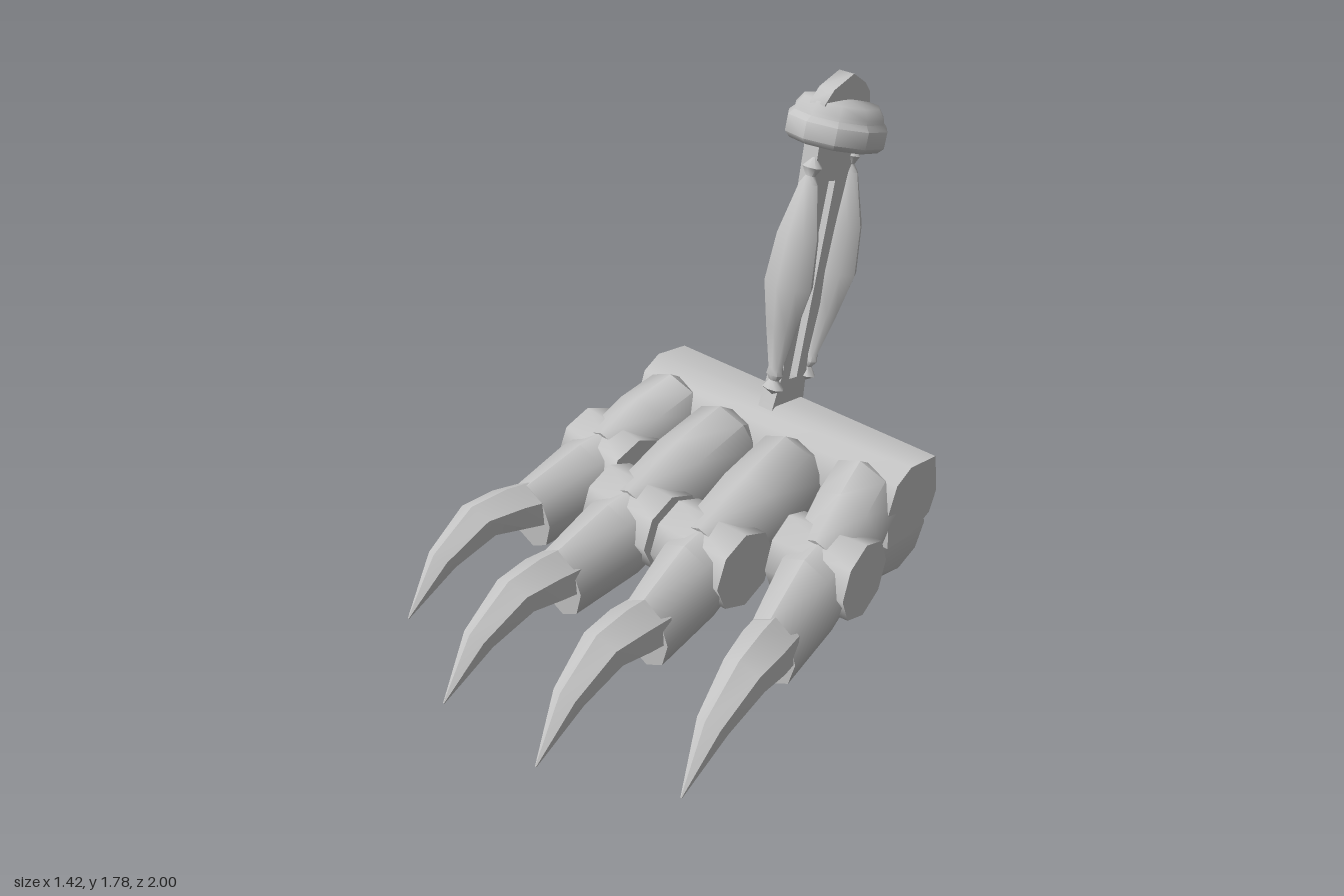
import * as THREE from 'three';
import { toCreasedNormals } from 'three/addons/utils/BufferGeometryUtils.js';

const grey = new THREE.MeshStandardMaterial({ color: 0xc4c4c4 });
grey.name = 'plain grey';

function part(name, geometry, parent) {
  const mesh = new THREE.Mesh(toCreasedNormals(geometry, 0.9), grey);
  mesh.name = name;
  parent.add(mesh);
  return mesh;
}

// Closed tube through elliptical rings [x, y, z, halfWidth, halfHeight, tilt], ordered towards +z
function loft(rings, sides) {
  const pos = [], idx = [];
  for (const [x, y, z, w, h, tilt] of rings) {
    for (let j = 0; j < sides; j++) {
      const a = Math.PI / 2 + (j / sides) * Math.PI * 2;
      const up = Math.sin(a) * h;
      pos.push(x + Math.cos(a) * w, y + up * Math.cos(tilt), z + up * Math.sin(tilt));
    }
  }
  for (let i = 0; i < rings.length - 1; i++) {
    for (let j = 0; j < sides; j++) {
      const k = (j + 1) % sides;
      const a = i * sides + j, b = i * sides + k;
      idx.push(a, b, b + sides, a, b + sides, a + sides);
    }
  }
  const last = (rings.length - 1) * sides;
  for (let j = 1; j < sides - 1; j++) {
    idx.push(0, j + 1, j, last, last + j, last + j + 1);
  }
  const g = new THREE.BufferGeometry();
  g.setAttribute('position', new THREE.Float32BufferAttribute(pos, 3));
  g.setIndex(idx);
  return g;
}

// Side outline of [z, y] points, extruded across x
function slab(outline, x0, x1, hole) {
  const points = (list) => list.map(([z, y]) => new THREE.Vector2(-z, y));
  const shape = new THREE.Shape(points(outline));
  if (hole) shape.holes.push(new THREE.Path(points(hole)));
  const g = new THREE.ExtrudeGeometry(shape, { depth: x1 - x0, bevelEnabled: false });
  return g.rotateY(Math.PI / 2).translate(x0, 0, 0);
}

function lathe(profile, sides) {
  return new THREE.LatheGeometry(profile.map(([r, y]) => new THREE.Vector2(r, y)), sides);
}

// One finger: x positions at root, knuckle, claw base, claw middle and tip
function finger(name, side, xs, knuckleZ, rootZ, yaw, parent) {
  const [xr, xk, xb, xm, xt] = xs.map((x) => x * side);
  const group = new THREE.Group();
  group.name = name;
  parent.add(group);
  const z = knuckleZ;

  part('upperSegment', loft([
    [xr, 0.44, rootZ - 0.07, 0.11, 0.12, 0.28],
    [xr, 0.45, rootZ, 0.145, 0.165, 0.28],
    [(xr + xk) / 2, 0.4, (rootZ + z) / 2, 0.15, 0.165, 0.28],
    [xk, 0.335, z + 0.03, 0.13, 0.14, 0.28],
  ], 8), group);

  const knuckle = part('knuckle', new THREE.CylinderGeometry(0.148, 0.148, 0.31, 8).rotateZ(Math.PI / 2), group);
  knuckle.position.set(xk, 0.33, z);
  knuckle.rotation.y = yaw * side;

  part('lowerSegment', loft([
    [xk, 0.33, z - 0.04, 0.13, 0.14, 0.2],
    [(xk * 2 + xb) / 3, 0.29, z + 0.13, 0.14, 0.16, 0.15],
    [xb, 0.22, z + 0.38, 0.105, 0.14, 0.05],
  ], 8), group);

  part('claw', loft([
    [xb, 0.26, z + 0.34, 0.1, 0.1, 0],
    [(xb + xm) / 2, 0.275, z + 0.45, 0.1, 0.095, 0.1],
    [xm, 0.28, z + 0.58, 0.085, 0.08, 0.35],
    [(xm + xt) / 2, 0.19, z + 0.75, 0.057, 0.055, 0.75],
    [xt, 0.01, z + 0.915, 0.003, 0.003, 0.8],
  ], 6), group);
}

// Spindle with small knots at both ends, running between two [z, y] points
function spindle(name, from, to, bow, parent) {
  const dz = to[0] - from[0], dy = to[1] - from[1];
  const length = Math.hypot(dz, dy);
  const profile = [[0, 0], [0.045, 0.03], [0.02, 0.065], [0.036, 0.09], [0.03, 0.12], [0.065, 0.3],
    [0.1, 0.48], [0.085, 0.68], [0.038, 0.89], [0.02, 0.92], [0.04, 0.955], [0, 1]];
  const g = lathe(profile.map(([r, t]) => [r, t * length]), 8);
  const p = g.attributes.position;
  for (let i = 0; i < p.count; i++) {
    const t = p.getY(i) / length;
    p.setZ(i, p.getZ(i) * 0.74 + bow * Math.sin(Math.PI * t));
  }
  const mesh = part(name, g, parent);
  mesh.position.set(-0.025, from[1], from[0]);
  mesh.rotation.x = Math.atan2(dz, dy);
}

export function createModel() {
  const model = new THREE.Group();
  model.name = 'clawedFoot';

  // Palm bar and heel roller
  part('palm', slab([[-0.37, 0.31], [-0.36, 0.46], [-0.4, 0.56], [-0.48, 0.6], [-0.63, 0.575],
    [-0.655, 0.42], [-0.62, 0.34], [-0.51, 0.3]].reverse(), -0.6, 0.6), model);
  const heel = part('heelPad', lathe([[0, -0.54], [0.15, -0.54], [0.215, -0.47], [0.215, 0.46],
    [0.14, 0.525], [0, 0.525]], 8), model);
  heel.position.set(0, 0.235, -0.575);
  heel.rotation.z = -Math.PI / 2 - 0.045;

  // Fingers, mirrored in pairs
  for (const side of [-1, 1]) {
    finger('innerFinger', side, [0.155, 0.17, 0.205, 0.21, 0.225], 0.08, -0.38, 0, model);
    finger('outerFinger', side, [0.45, 0.51, 0.58, 0.635, 0.665], -0.13, -0.43, 0.12, model);
  }

  // Slotted leg plate with a spindle at its front and back
  part('legPlate', slab(
    [[-0.45, 0.57], [-0.64, 0.53], [-0.665, 0.75], [-0.93, 1.56], [-0.68, 1.58], [-0.515, 0.72]],
    -0.075, -0.01,
    [[-0.555, 0.685], [-0.6, 0.675], [-0.78, 1.405], [-0.742, 1.415]]), model);
  spindle('frontSpindle', [-0.475, 0.65], [-0.675, 1.53], 0.02, model);
  spindle('backSpindle', [-0.655, 0.63], [-0.89, 1.51], -0.045, model);

  // Ankle ring with a recessed underside, and the crest on top
  const ring = part('ankleRing', lathe([[0, 0.035], [0.11, 0.035], [0.12, 0], [0.165, 0], [0.185, 0.02],
    [0.185, 0.08], [0.165, 0.1], [0.165, 0.115], [0.14, 0.15], [0, 0.165]], 10), model);
  ring.position.set(-0.042, 1.535, -0.8);
  ring.rotation.x = -0.26;
  part('crest', slab([[-0.7, 1.62], [-0.97, 1.6], [-0.96, 1.69], [-0.93, 1.73], [-0.86, 1.78],
    [-0.75, 1.75], [-0.7, 1.71]], -0.075, -0.01), model);

  return model;
}
